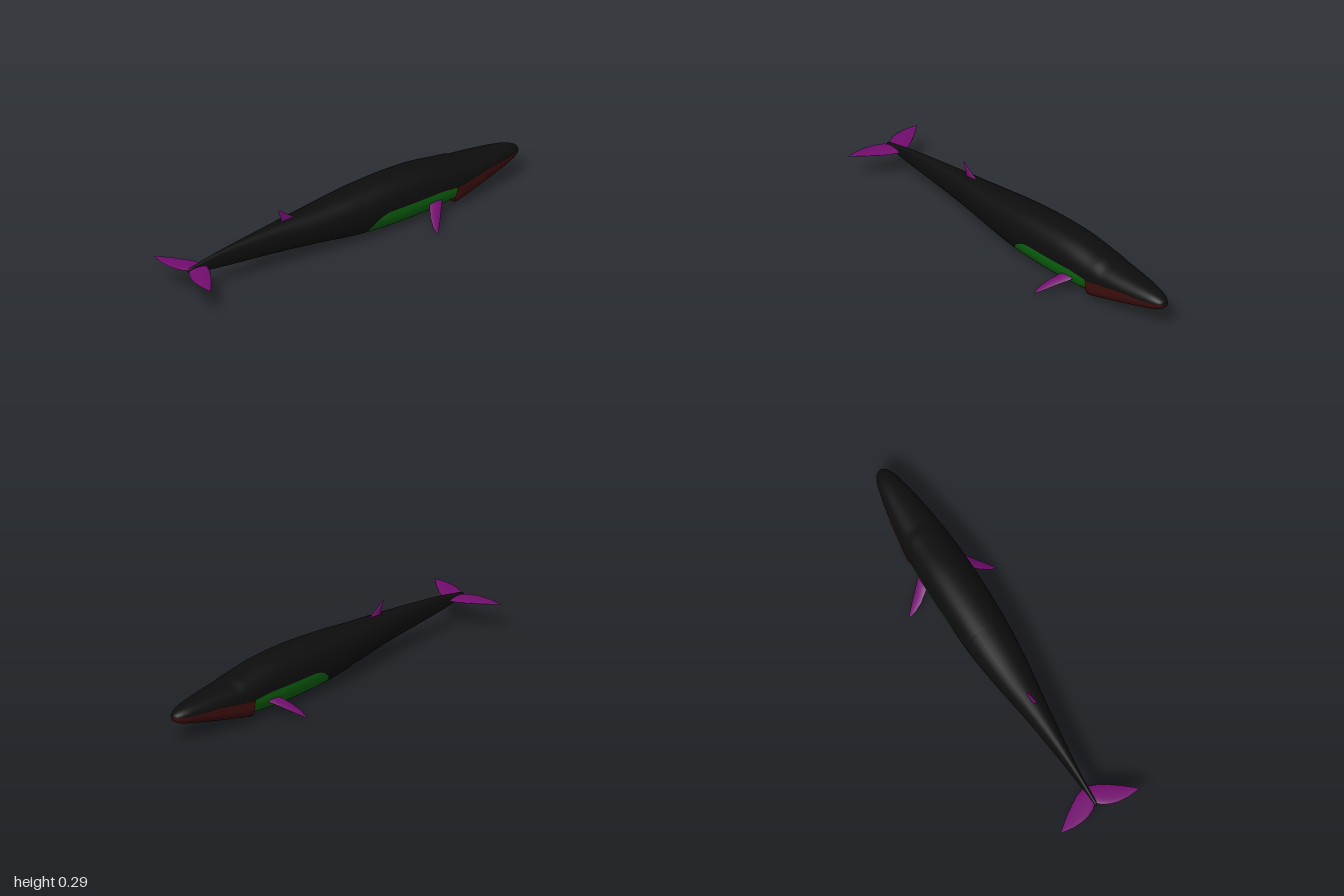
import * as THREE from 'three';

const material = (name, color) => {
  const m = new THREE.MeshStandardMaterial({ color });
  m.name = name;
  return m;
};
const clamp = THREE.MathUtils.clamp;

// Body stations from nose to tail: z, half width, top, bottom
const STATIONS = [
  [-1, 0.003, 0.143, 0.133], [-0.995, 0.018, 0.152, 0.122], [-0.98, 0.032, 0.162, 0.111],
  [-0.95, 0.047, 0.174, 0.099], [-0.9, 0.061, 0.185, 0.087], [-0.8, 0.082, 0.198, 0.067],
  [-0.68, 0.1, 0.211, 0.046], [-0.635, 0.105, 0.216, 0.039], [-0.61, 0.108, 0.224, 0.034],
  [-0.57, 0.112, 0.23, 0.027], [-0.4, 0.12, 0.256, 0.014], [-0.2, 0.12, 0.263, 0.013],
  [0, 0.112, 0.255, 0.026], [0.2, 0.091, 0.239, 0.054], [0.4, 0.062, 0.227, 0.076],
  [0.6, 0.037, 0.211, 0.093], [0.8, 0.017, 0.189, 0.113], [0.9, 0.011, 0.171, 0.13],
  [0.95, 0.006, 0.16, 0.141], [0.96, 0.001, 0.152, 0.149],
];
const JAW_END = -0.565, BELLY_END = -0.04;
const UPPER = 14, LOWER = 20, RING = UPPER * 2 + LOWER;

// Height of the edge between the back and the jaw or belly
function edgeHeight(z, bottom) {
  if (z <= JAW_END) return 0.12 + 0.02 * clamp((JAW_END - z) / 0.2, 0, 1);
  const s = clamp((BELLY_END - z) / 0.13, 0, 1);
  const top = 0.122 + 0.013 * clamp((z - JAW_END) / 0.1, 0, 1);
  return bottom + (top - bottom) * Math.sqrt(1 - (1 - s) ** 2);
}

// Lofted body; each ring puts a vertex exactly on the colour edge
function bodyGeometry() {
  const profile = new THREE.CubicInterpolant(
    STATIONS.map(s => s[0]), STATIONS.flatMap(s => s.slice(1)), 3, new Float32Array(3));
  const zs = [];
  for (let k = 0; k <= 32; k++) zs.push(-1 + (JAW_END + 1) * (k / 32) ** 1.7);
  for (let k = 0; k <= 40; k++) zs.push(-0.557 + (BELLY_END + 0.557) * (1 - (1 - k / 40) ** 1.6));
  for (let k = 1; k <= 50; k++) zs.push(BELLY_END + (0.96 - BELLY_END) * k / 50);

  const pos = [], parts = [[], [], []];
  zs.forEach((z, i) => {
    const [w, top, bottom] = profile.evaluate(z);
    const mid = (top + bottom) / 2, h = (top - bottom) / 2;
    const isJaw = z <= JAW_END + 1e-6;
    const back = isJaw ? clamp((z + 1) / 0.4, 0, 1) : 0;
    const lowPower = isJaw ? 2.2 + 2 * back * back : 2.2;
    const c = clamp((edgeHeight(z, bottom) - mid) / h, -1, 1);
    const edge = Math.acos(Math.sign(c) * Math.abs(c) ** ((c < 0 ? lowPower : 2.2) / 2));
    for (let j = 0; j < RING; j++) {
      let a;
      if (j <= UPPER) a = edge * j / UPPER;
      else if (j <= UPPER + LOWER) a = edge + (2 * Math.PI - 2 * edge) * (j - UPPER) / LOWER;
      else a = 2 * Math.PI - edge * (RING - j) / UPPER;
      const sn = Math.sin(a), cs = Math.cos(a);
      const e = 2 / (cs < 0 ? lowPower : 2.2);
      const flare = cs < 0 ? 1 + 0.02 * back : 1;
      pos.push(w * flare * Math.sign(sn) * Math.abs(sn) ** e,
        mid + h * Math.sign(cs) * Math.abs(cs) ** e, z);
    }
    if (i === 0) return;
    for (let j = 0; j < RING; j++) {
      const lower = j >= UPPER && j < UPPER + LOWER;
      if (lower && z > BELLY_END + 1e-6) continue;
      const part = !lower ? 0 : zs[i - 1] <= JAW_END + 1e-6 ? 1 : 2;
      const a = (i - 1) * RING + j, b = (i - 1) * RING + (j + 1) % RING;
      parts[part].push(a, a + RING, b, b, a + RING, b + RING);
    }
  });
  const g = new THREE.BufferGeometry();
  g.setAttribute('position', new THREE.Float32BufferAttribute(pos, 3));
  g.setIndex(parts.flat());
  let start = 0;
  parts.forEach((p, m) => { g.addGroup(start, p.length, m); start += p.length; });
  g.computeVertexNormals();
  return g;
}

// Fin lofted from lens sections: x, y, leading z, trailing z, half thickness
function finGeometry(sections, nx, ny, side = 1) {
  const N = 14, pos = [], index = [];
  sections.forEach(([x, y, lead, trail, t], i) => {
    for (let j = 0; j < N; j++) {
      const a = j / N * 2 * Math.PI, d = t * Math.sin(a);
      pos.push(side * (x + nx * d), y + ny * d, (lead + trail) / 2 + (trail - lead) / 2 * Math.cos(a));
      if (i === 0) continue;
      const p = (i - 1) * N + j, q = (i - 1) * N + (j + 1) % N;
      if (side > 0) index.push(p, p + N, q, q, p + N, q + N);
      else index.push(p, q, p + N, q, q + N, p + N);
    }
  });
  const g = new THREE.BufferGeometry();
  g.setAttribute('position', new THREE.Float32BufferAttribute(pos, 3));
  g.setIndex(index);
  g.computeVertexNormals();
  return g;
}

const FLUKE = [
  [0, 0.15, 0.85, 0.945, 0.009], [0.02, 0.15, 0.853, 0.965, 0.0095], [0.06, 0.15, 0.869, 0.985, 0.008],
  [0.1, 0.15, 0.894, 0.995, 0.006], [0.15, 0.15, 0.93, 0.997, 0.004], [0.19, 0.15, 0.964, 0.993, 0.002],
  [0.215, 0.15, 0.987, 0.989, 0.0005],
];
const FLIPPER = [
  [0.085, 0.1, -0.487, -0.41, 0.01], [0.12, 0.082, -0.465, -0.388, 0.009], [0.16, 0.056, -0.425, -0.36, 0.006],
  [0.2, 0.03, -0.387, -0.344, 0.004], [0.225, 0.013, -0.361, -0.341, 0.002], [0.238, 0.004, -0.346, -0.342, 0.0005],
];
const DORSAL = [
  [0, 0.2, 0.3, 0.405, 0.007], [0, 0.23, 0.325, 0.4, 0.007], [0, 0.25, 0.358, 0.402, 0.005],
  [0, 0.27, 0.386, 0.412, 0.003], [0, 0.284, 0.4, 0.418, 0.0015], [0, 0.29, 0.41, 0.417, 0.0004],
];

export function createModel() {
  const skin = material('black skin', 0x0d0d0d);
  const jaw = material('dark red jaw', 0x3c0d0d);
  const belly = material('green belly', 0x0d640f);
  const fin = material('purple fin', 0x720d6e);

  const model = new THREE.Group();
  model.name = 'whale';
  const add = (name, geometry, mat) => {
    const mesh = new THREE.Mesh(geometry, mat);
    mesh.name = name;
    model.add(mesh);
  };

  add('body', bodyGeometry(), [skin, jaw, belly]);
  add('dorsalFin', finGeometry(DORSAL, -1, 0), fin);
  for (const [name, side] of [['left', 1], ['right', -1]]) {
    add(name + 'Fluke', finGeometry(FLUKE, 0, 1, side), fin);
    add(name + 'Flipper', finGeometry(FLIPPER, 0.54, 0.84, side), fin);
  }
  return model;
}
